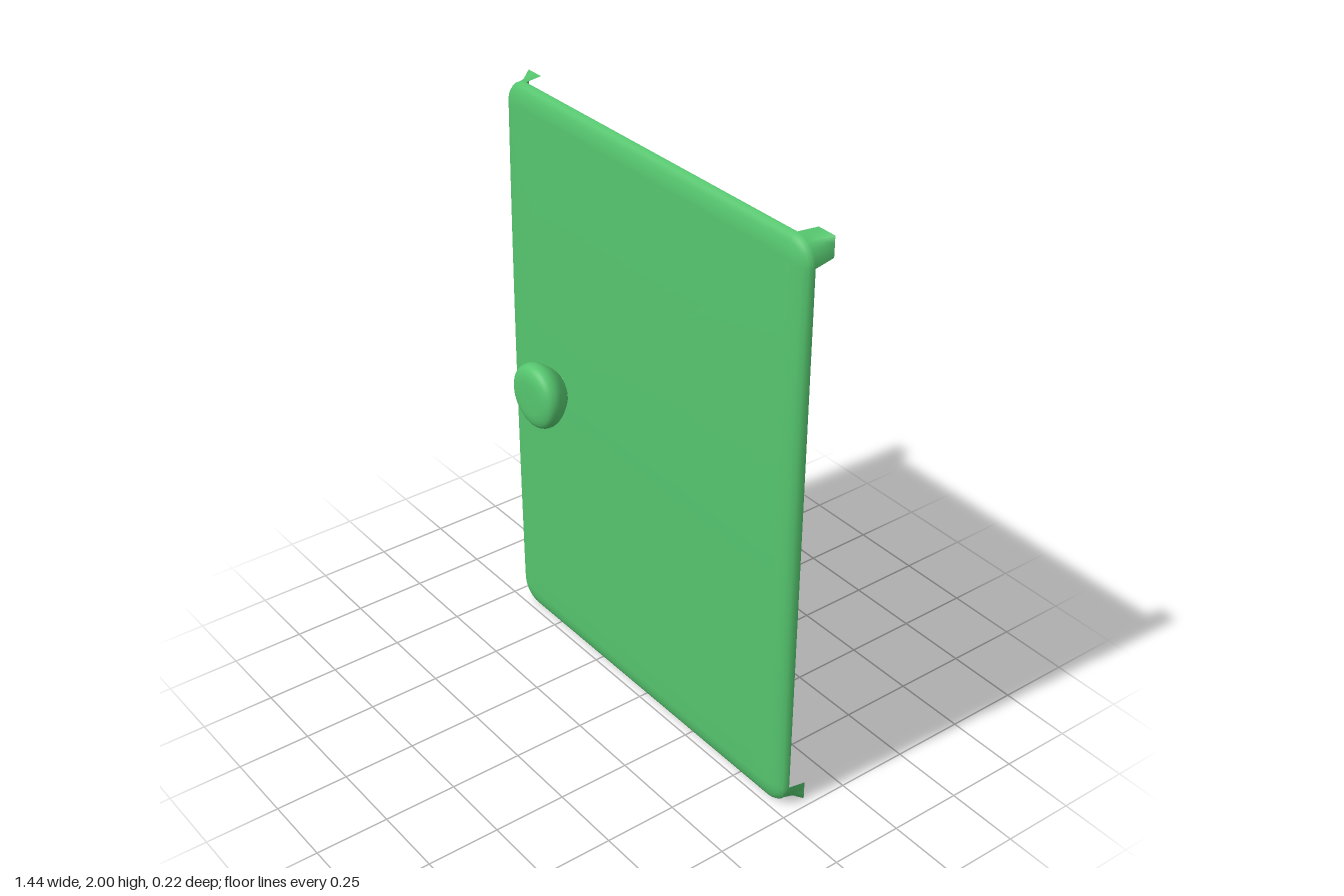
import * as THREE from 'three';

const W = 0.72, H = 1, R = 0.08;          // half width, half height, corner radius
const KNOB = { x: -0.455, y: 1.0, neck: 0.068 };
const ARC = 10;
const SIDE = [0.012, 0.04, 0.1, 0.2, 0.3, 0.4, 0.5, 0.6, 0.7, 0.8, 0.9, 0.96, 0.988];

// Counter-clockwise outline of a rounded rectangle; square corners on request
function outline(inset, square = false) {
  const r = R - inset, pts = [];
  const centres = [[1, 1], [-1, 1], [-1, -1], [1, -1]].map(([sx, sy]) => [sx * (W - R), H + sy * (H - R)]);
  centres.forEach(([cx, cy], k) => {
    for (let i = 0; i <= ARC; i++) {
      const a = (k + i / ARC) * Math.PI / 2;
      const c = Math.cos(a), s = Math.sin(a);
      const f = square ? r / Math.max(Math.abs(c), Math.abs(s)) : r;
      pts.push({ x: cx + c * f, y: cy + s * f, corner: i > 0 && i < ARC });
    }
    const [nx, ny] = centres[(k + 1) % 4];
    const a = (k + 1) * Math.PI / 2, ox = Math.cos(a) * r, oy = Math.sin(a) * r;
    for (const t of SIDE) {
      pts.push({ x: cx + (nx - cx) * t + ox, y: cy + (ny - cy) * t + oy, corner: false });
    }
  });
  return pts;
}

// Gentle bow of the panel from top to bottom
const bow = (y) => -0.012 * (y - 1) ** 2;

function panelGeometry() {
  const rings = [];
  const inner = outline(0.07);
  // Face, from the opening behind the knob out to the rim
  for (const t of [0, 0.05, 0.15, 0.35, 0.6, 0.85, 1]) {
    rings.push(inner.map((p) => {
      const a = Math.atan2(p.y - KNOB.y, p.x - KNOB.x);
      const x = THREE.MathUtils.lerp(KNOB.x + KNOB.neck * Math.cos(a), p.x, t);
      const y = THREE.MathUtils.lerp(KNOB.y + KNOB.neck * Math.sin(a), p.y, t);
      return [x, y, bow(y)];
    }));
  }
  // Rolled rim
  for (const [inset, z] of [[0.045, -0.003], [0.022, -0.01], [0.007, -0.02], [0, -0.033], [0, -0.045]]) {
    rings.push(outline(inset).map((p) => [p.x, p.y, z + bow(p.y) * (1 + z / 0.045)]));
  }
  // Corners flare back into square tabs
  const round = outline(0), square = outline(0, true);
  for (const t of [0.5, 1]) {
    rings.push(round.map((p, i) => {
      const k = p.corner ? t : 0;
      return [p.x + (square[i].x - p.x) * k * t, p.y + (square[i].y - p.y) * k * t, -0.045 - 0.065 * k];
    }));
  }
  const n = inner.length, index = [];
  for (let j = 0; j < rings.length - 1; j++) {
    for (let i = 0; i < n; i++) {
      const a = j * n + i, b = j * n + (i + 1) % n;
      index.push(a, a + n, b, b, a + n, b + n);
    }
  }
  const geo = new THREE.BufferGeometry();
  geo.setAttribute('position', new THREE.Float32BufferAttribute(rings.flat(2), 3));
  geo.setIndex(index);
  geo.computeVertexNormals();
  return geo;
}

export function createModel() {
  const group = new THREE.Group();
  group.name = 'cabinetDoor';
  const green = new THREE.MeshStandardMaterial({ color: 0x55c56e, side: THREE.DoubleSide });
  green.name = 'green';

  const panel = new THREE.Mesh(panelGeometry(), green);
  panel.name = 'doorPanel';
  group.add(panel);

  // Hollow knob, open at the back
  const profile = new THREE.SplineCurve([
    [KNOB.neck, 0], [0.088, 0.02], [0.106, 0.045], [0.113, 0.07], [0.105, 0.094], [0.078, 0.107], [0.04, 0.11], [0, 0.11],
  ].map(([x, y]) => new THREE.Vector2(x, y))).getPoints(24);
  profile[profile.length - 1].x = 0;
  const knob = new THREE.Mesh(new THREE.LatheGeometry(profile, 36).rotateX(Math.PI / 2), green);
  knob.name = 'knob';
  knob.position.set(KNOB.x, KNOB.y, 0);
  group.add(knob);
  return group;
}
